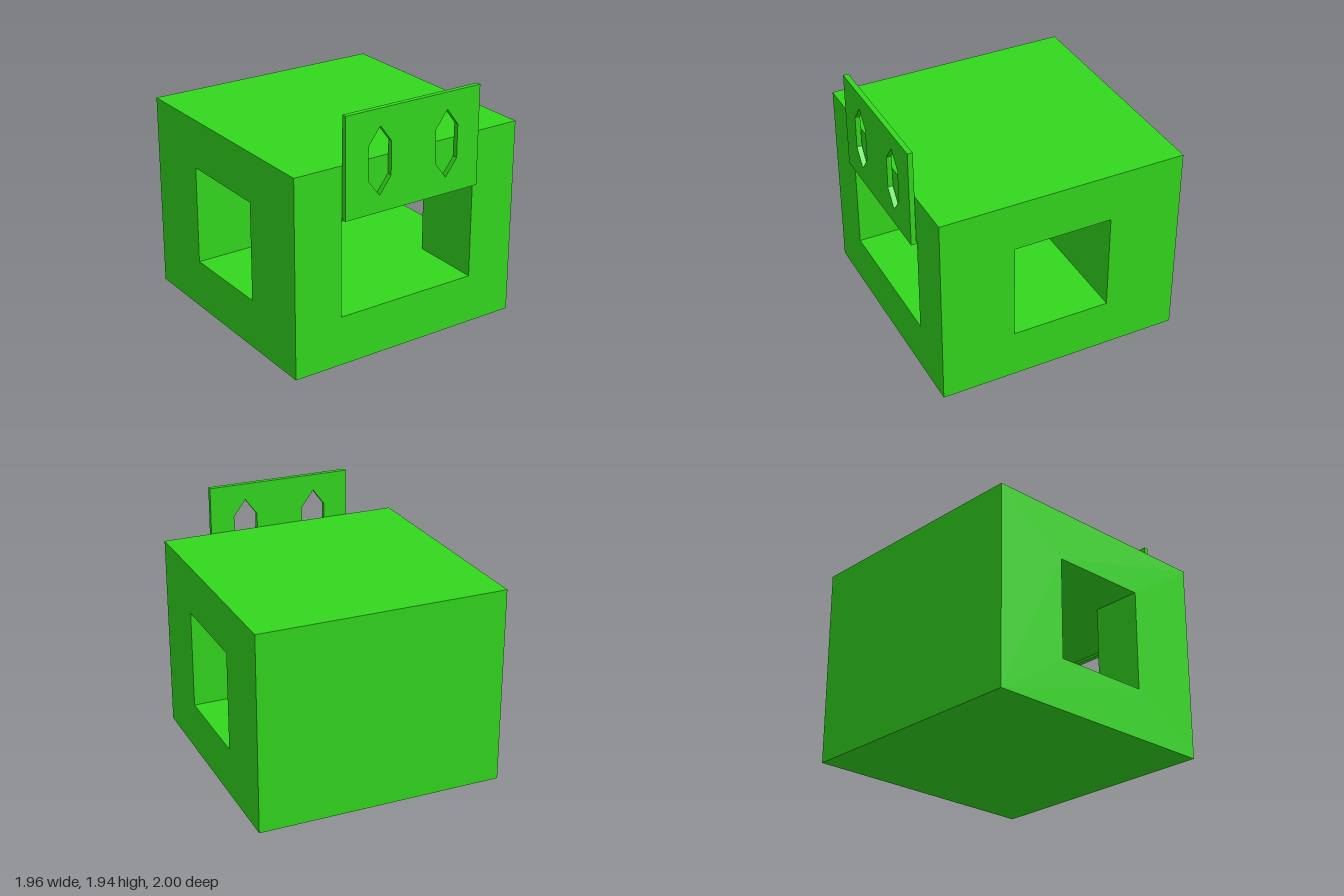
import * as THREE from 'three';
import { mergeGeometries } from 'three/addons/utils/BufferGeometryUtils.js';

// Block extents and the T-shaped passage cut through it
const W = 0.98, H = 1.566, BACK = -1, FRONT = 0.955;
const IN_W = 0.587, IN_LOW = 0.392, IN_HIGH = 1.177, IN_BACK = -0.412, IN_FRONT = 0.372;
const Q = Math.PI / 2;

const polygon = (pts) => new THREE.Shape(pts.map(([x, y]) => new THREE.Vector2(x, y)));
const rect = (x0, x1, y0, y1) => polygon([[x0, y0], [x1, y0], [x1, y1], [x0, y1]]);

// Flat panels, drawn in 2D and turned to face one axis at a distance along it
const turns = {
  '+z': (g, d) => g.translate(0, 0, d),
  '-z': (g, d) => g.rotateY(Math.PI).translate(0, 0, d), // u = -x
  '+x': (g, d) => g.rotateY(Q).translate(d, 0, 0),       // u = -z
  '-x': (g, d) => g.rotateY(-Q).translate(d, 0, 0),      // u = z
  '+y': (g, d) => g.rotateX(-Q).translate(0, d, 0),      // v = -z
  '-y': (g, d) => g.rotateX(Q).translate(0, d, 0),       // v = z
};
const panel = (dir, d, shape) => turns[dir](new THREE.ShapeGeometry(shape), d);
const withHole = (shape, hole) => { shape.holes.push(hole); return shape; };

// T-shaped plan of the passage; s flips z for upward panels
const teePlan = (s) => polygon([
  [-W, s * IN_BACK], [W, s * IN_BACK], [W, s * IN_FRONT], [IN_W, s * IN_FRONT],
  [IN_W, s * FRONT], [-IN_W, s * FRONT], [-IN_W, s * IN_FRONT], [-W, s * IN_FRONT],
]);

export function createModel() {
  const model = new THREE.Group();
  model.name = 'hollowBlock';
  const material = new THREE.MeshStandardMaterial({ color: 0x33d81e });
  const add = (name, geometry) => {
    const mesh = new THREE.Mesh(geometry, material);
    mesh.name = name;
    model.add(mesh);
  };

  // Outer shell with one front opening and one on each side
  add('outerShell', mergeGeometries([
    panel('+z', FRONT, withHole(rect(-W, W, 0, H), rect(-IN_W, IN_W, IN_LOW, IN_HIGH))),
    panel('-z', BACK, rect(-W, W, 0, H)),
    panel('+x', W, withHole(rect(-FRONT, -BACK, 0, H), rect(-IN_FRONT, -IN_BACK, IN_LOW, IN_HIGH))),
    panel('-x', -W, withHole(rect(BACK, FRONT, 0, H), rect(IN_BACK, IN_FRONT, IN_LOW, IN_HIGH))),
    panel('+y', H, rect(-W, W, -FRONT, -BACK)),
    panel('-y', 0, rect(-W, W, BACK, FRONT)),
  ]));

  // Floor, ceiling and walls of the passage
  add('passage', mergeGeometries([
    panel('+y', IN_LOW, teePlan(-1)),
    panel('-y', IN_HIGH, teePlan(1)),
    panel('+z', IN_BACK, rect(-W, W, IN_LOW, IN_HIGH)),
    panel('+x', -IN_W, rect(-FRONT, -IN_FRONT, IN_LOW, IN_HIGH)),
    panel('-x', IN_W, rect(IN_FRONT, FRONT, IN_LOW, IN_HIGH)),
    panel('-z', IN_FRONT, rect(-W, -IN_W, IN_LOW, IN_HIGH)),
    panel('-z', IN_FRONT, rect(IN_W, W, IN_LOW, IN_HIGH)),
  ]));

  // Upright plate above the front opening, with two pointed windows
  const plate = rect(-IN_W, IN_W, 1.16, 1.942);
  for (const x of [-0.294, 0.294]) {
    plate.holes.push(polygon([
      [x, 1.29], [x + 0.098, 1.42], [x + 0.098, 1.68],
      [x, 1.812], [x - 0.098, 1.68], [x - 0.098, 1.42],
    ]));
  }
  add('frontPlate', new THREE.ExtrudeGeometry(plate, { depth: 0.04, bevelEnabled: false })
    .translate(0, 0, 0.96));

  return model;
}
